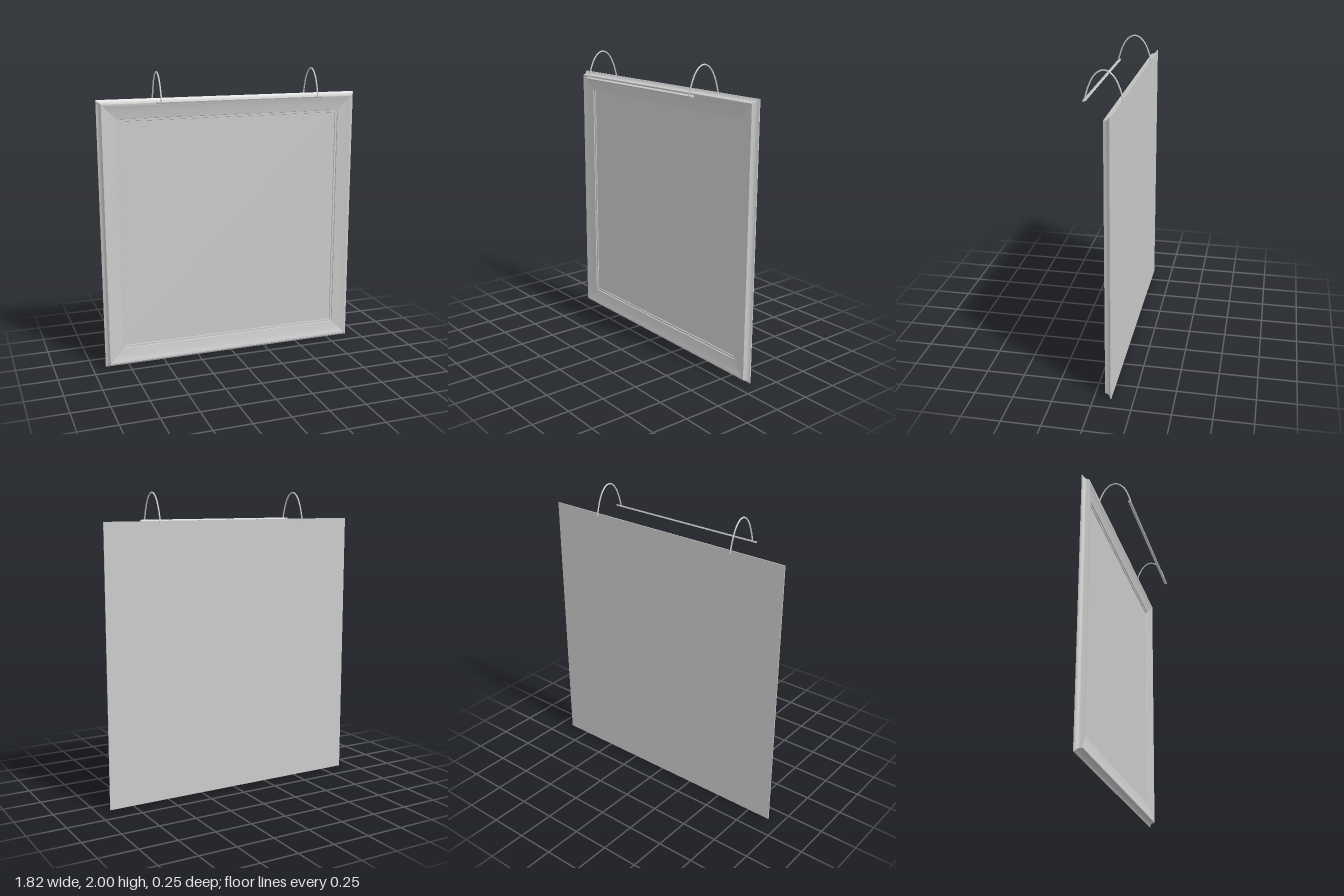
import * as THREE from 'three';
import { toCreasedNormals } from 'three/addons/utils/BufferGeometryUtils.js';

const CENTER_Y = 0.91;

const material = () => new THREE.MeshStandardMaterial({ color: 0xcccccc });

function addMesh(parent, name, geometry, x = 0, y = 0, z = 0) {
  const mesh = new THREE.Mesh(geometry, material());
  mesh.name = name;
  mesh.position.set(x, y, z);
  parent.add(mesh);
  return mesh;
}

// One mitred rail: the moulding profile [half size, z] swept along the top side
function railGeometry(profile) {
  const positions = [], indices = [];
  profile.forEach(([h, z], i) => {
    positions.push(-h, h, z, h, h, z);
    if (i === 0) return;
    const a = 2 * (i - 1), b = a + 1, c = a + 2, d = a + 3;
    indices.push(a, c, b, b, c, d);
  });
  const geometry = new THREE.BufferGeometry();
  geometry.setAttribute('position', new THREE.Float32BufferAttribute(positions, 3));
  geometry.setIndex(indices);
  return toCreasedNormals(geometry, 0.6);
}

export function createModel() {
  const model = new THREE.Group();
  model.name = 'framedPanelWithLamp';

  // Moulding from the back edge, over the raised rim, down to the panel
  const profile = [
    [0.91, -0.11], [0.91, -0.104], [0.902, -0.1], [0.894, -0.093],
    [0.889, -0.084], [0.887, -0.072], [0.885, -0.066], [0.88, -0.065],
    [0.875, -0.066], [0.866, -0.069], [0.85, -0.073], [0.83, -0.077],
    [0.785, -0.084], [0.783, -0.09], [0.77, -0.09], [0.768, -0.095],
  ];
  const frame = new THREE.Group();
  frame.name = 'frame';
  frame.position.y = CENTER_Y;
  model.add(frame);
  const rail = railGeometry(profile);
  ['topRail', 'leftRail', 'bottomRail', 'rightRail'].forEach((name, i) => {
    addMesh(frame, name, rail).rotation.z = -i * Math.PI / 2;
  });

  // Picture surface and flat backing
  addMesh(model, 'panel', new THREE.PlaneGeometry(1.536, 1.536), 0, CENTER_Y, -0.095);
  addMesh(model, 'backing', new THREE.PlaneGeometry(1.82, 1.82), 0, CENTER_Y, -0.11)
    .rotation.y = Math.PI;

  // Two curved arms reaching over the top of the frame
  const armPath = new THREE.CatmullRomCurve3([
    [1.805, -0.12], [1.84, -0.111], [1.9, -0.092], [1.95, -0.067], [1.984, -0.034],
    [1.995, 0], [1.984, 0.034], [1.95, 0.067], [1.9, 0.092], [1.84, 0.111], [1.815, 0.117],
  ].map(([y, z]) => new THREE.Vector3(0, y, z)));
  const armGeometry = new THREE.TubeGeometry(armPath, 40, 0.005, 8);
  for (const side of [1, -1]) {
    addMesh(model, side > 0 ? 'leftArm' : 'rightArm', armGeometry, side * 0.536);
  }

  // Slim lamp bar hanging in front
  addMesh(model, 'lampBar', new THREE.BoxGeometry(1.134, 0.01, 0.019), 0, 1.814, 0.114)
    .rotation.x = 0.4;

  return model;
}
